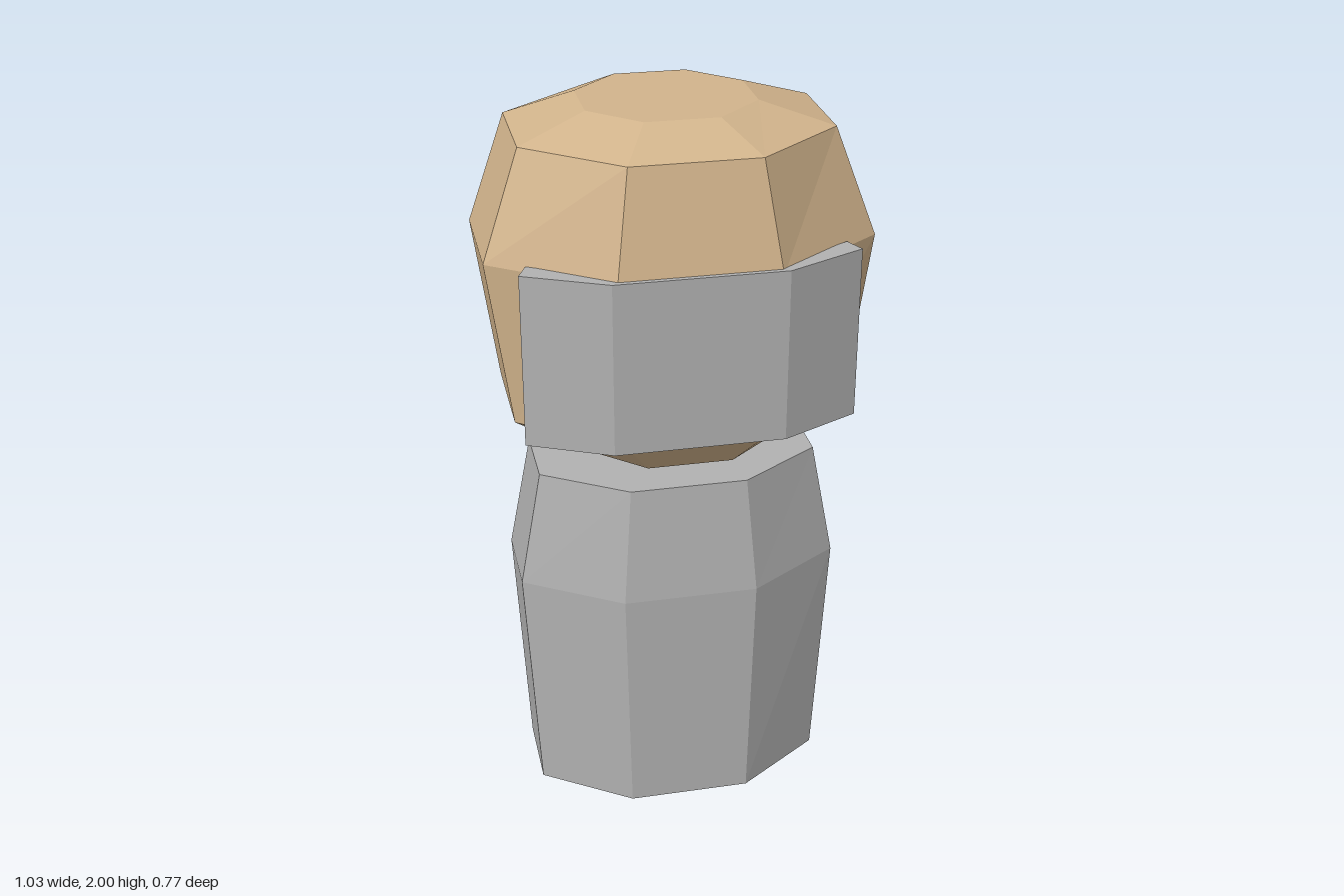
import * as THREE from 'three';

// Eight-cornered cross-section, counterclockwise seen from above.
// w / iw: half width at the sides / at front and back; f, sf, sb, b: z of front, side corners, back
function octagon(y, w, iw, f, sf, sb, b) {
  return [[-iw, f], [iw, f], [w, sf], [w, sb], [iw, b], [-iw, b], [-w, sb], [-w, sf]]
    .map(([x, z]) => [x, y, z]);
}

// Visor cross-section: four outer corners left to right, then four inner corners back
function visorSection(y, innerX, innerZ, innerFront) {
  return [[-0.44, 0.282], [-0.225, 0.385], [0.225, 0.385], [0.44, 0.282],
    [innerX, innerZ], [0.18, innerFront], [-0.18, innerFront], [-innerX, innerZ]]
    .map(([x, z]) => [x, y, z]);
}

// Faceted solid through a stack of sections, closed at both ends
function loft(name, rings, material) {
  const pos = [];
  const quad = (a, b, c, d) => pos.push(...a, ...b, ...c, ...a, ...c, ...d);
  const n = rings[0].length;
  for (let r = 0; r < rings.length - 1; r++) {
    for (let i = 0; i < n; i++) {
      const j = (i + 1) % n;
      quad(rings[r][i], rings[r][j], rings[r + 1][j], rings[r + 1][i]);
    }
  }
  const bottom = rings[0], top = rings[rings.length - 1];
  for (let i = 0; i < n / 2 - 1; i++) {
    quad(top[i], top[i + 1], top[n - 2 - i], top[n - 1 - i]);
    quad(bottom[n - 1 - i], bottom[n - 2 - i], bottom[i + 1], bottom[i]);
  }
  const geometry = new THREE.BufferGeometry();
  geometry.setAttribute('position', new THREE.Float32BufferAttribute(pos, 3));
  geometry.computeVertexNormals();
  const mesh = new THREE.Mesh(geometry, material);
  mesh.name = name;
  return mesh;
}

export function createModel() {
  const tan = new THREE.MeshStandardMaterial({ color: 0xd2b48c });
  tan.name = 'tan';
  const grey = new THREE.MeshStandardMaterial({ color: 0xb2b2b2 });
  grey.name = 'grey';

  const group = new THREE.Group();
  group.name = 'figure';

  // Torso: tapered, flat on both ends
  group.add(loft('body', [
    octagon(0, 0.41, 0.17, 0.275, 0.113, -0.117, -0.28),
    octagon(0.685, 0.447, 0.185, 0.282, 0.115, -0.119, -0.286),
    octagon(1.015, 0.385, 0.16, 0.248, 0.102, -0.106, -0.253),
  ], grey));

  // Head: floats above the torso, crown leaning back
  group.add(loft('head', [
    octagon(1.09, 0.28, 0.115, 0.262, 0.108, -0.108, -0.262),
    octagon(1.205, 0.45, 0.188, 0.352, 0.148, -0.15, -0.358),
    octagon(1.66, 0.513, 0.21, 0.375, 0.155, -0.165, -0.387),
    octagon(1.945, 0.41, 0.17, 0.31, 0.11, -0.176, -0.375),
    octagon(2, 0.225, 0.098, 0.148, 0.026, -0.15, -0.275),
  ], tan));

  // Visor: wraps the lower front of the head
  group.add(loft('visor', [
    visorSection(1.205, 0.4, 0.187, 0.345),
    visorSection(1.675, 0.415, 0.225, 0.36),
  ], grey));

  return group;
}
